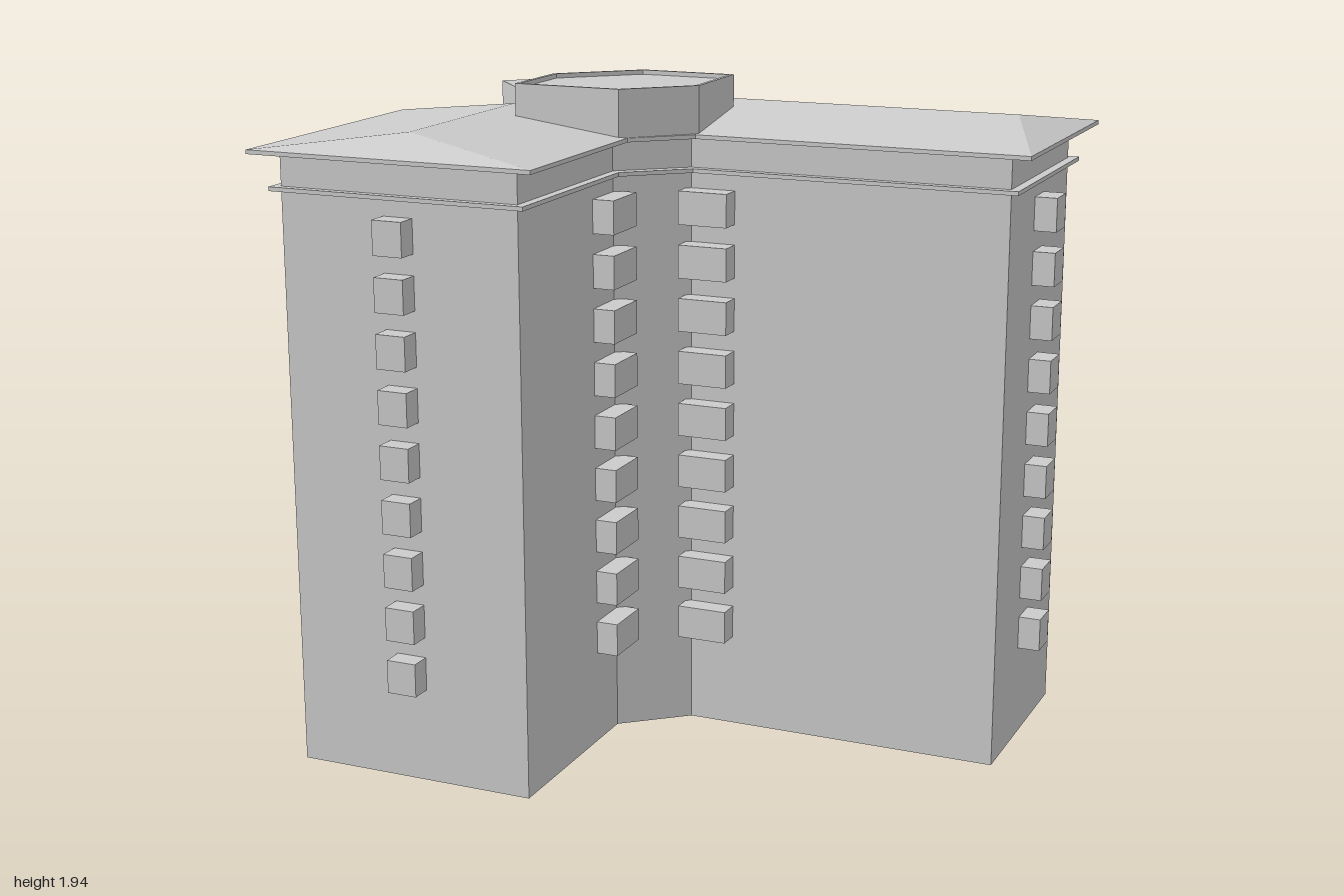
import * as THREE from 'three';

const mat = new THREE.MeshStandardMaterial({ color: 0xcccccc, flatShading: true, side: THREE.DoubleSide });

// Plan outlines as [x, z], running round the L-shaped block
const WALL = [[0.93, -0.65], [0.93, -0.05], [-0.02, -0.05], [-0.2, 0.1], [-0.2, 0.69], [-0.93, 0.69], [-0.93, -0.075], [-0.29, -0.65]];
const EAVE = [[1, -0.72], [1, 0.015], [0.02, 0.015], [-0.13, 0.15], [-0.13, 0.75], [-1, 0.75], [-1, -0.1], [-0.31, -0.72]];
const BAND = WALL.map(([x, z], i) => [x + (EAVE[i][0] - x) * 0.38, z + (EAVE[i][1] - z) * 0.38]);
const LANTERN = [[0.02, -0.27], [0.025, 0], [-0.15, 0.165], [-0.475, 0.165], [-0.475, -0.08], [-0.27, -0.27]];

function add(parent, name, geometry) {
  const mesh = new THREE.Mesh(geometry, mat);
  mesh.name = name;
  parent.add(mesh);
  return mesh;
}

function box(parent, name, x0, x1, y0, y1, z0, z1) {
  const mesh = add(parent, name, new THREE.BoxGeometry(x1 - x0, y1 - y0, z1 - z0));
  mesh.position.set((x0 + x1) / 2, (y0 + y1) / 2, (z0 + z1) / 2);
  return mesh;
}

const toPoints = (pts) => pts.map(([x, z]) => new THREE.Vector2(x, -z));

// Upright prism over a plan outline, with an optional hole
function prism(pts, y0, y1, hole) {
  const shape = new THREE.Shape(toPoints(pts));
  if (hole) shape.holes.push(new THREE.Path(toPoints(hole)));
  const g = new THREE.ExtrudeGeometry(shape, { depth: y1 - y0, bevelEnabled: false });
  return g.rotateX(-Math.PI / 2).translate(0, y0, 0);
}

// Strip of quads between a lower and an upper loop of [x, y, z] points
function strip(lower, upper) {
  const pos = [];
  lower.forEach((a, i) => {
    const j = (i + 1) % lower.length;
    const b = lower[j], c = upper[j], d = upper[i];
    pos.push(...b, ...a, ...d);
    if (c !== d) pos.push(...b, ...d, ...c);
  });
  const g = new THREE.BufferGeometry();
  g.setAttribute('position', new THREE.Float32BufferAttribute(pos, 3));
  g.computeVertexNormals();
  return g;
}

const lift = (pts, y) => pts.map(([x, z]) => [x, y, z]);

export function createModel() {
  const model = new THREE.Group();
  model.name = 'apartmentBlock';

  // Walls, open underneath, with a string course below the eaves
  add(model, 'walls', strip(lift(WALL, 0), lift(WALL, 1.79)));
  add(model, 'stringCourse', prism(BAND, 1.683, 1.695, WALL));

  // Hipped roof following the bent ridge
  add(model, 'eaves', prism(EAVE, 1.788, 1.8));
  const [a, b, c, d] = [[0.86, 1.857, -0.35], [-0.15, 1.857, -0.35], [-0.56, 1.857, 0.01], [-0.56, 1.857, 0.62]];
  add(model, 'roof', strip(lift(EAVE, 1.8), [a, a, b, c, d, d, c, b]));

  // Rooftop lantern with a thin raised rim
  const inner = LANTERN.map(([x, z]) => [-0.22 + (x + 0.22) * 0.955, -0.05 + (z + 0.05) * 0.955]);
  add(model, 'lantern', prism(LANTERN, 1.79, 1.925));
  add(model, 'lanternRim', prism(LANTERN, 1.925, 1.938, inner));

  // Diagonal entrance side: local +z points out of the wall
  const entrance = new THREE.Group();
  entrance.name = 'entranceSide';
  entrance.position.set(-0.61, 0, -0.3625);
  entrance.rotation.y = Math.atan2(-0.668, -0.744);
  box(entrance, 'stairBay', -0.295, 0.295, 0, 1.79, 0, 0.05);
  box(entrance, 'entranceCanopy', -0.295, 0.295, 0.2, 0.222, 0.04, 0.26);
  box(entrance, 'roofShaft', -0.14, 0.14, 1.67, 1.87, -0.3, 0.108);
  model.add(entrance);

  // Balcony stacks as plan rectangles x0, x1, z0, z1
  const stacks = [
    ['frontLeftWing', -0.61, -0.52, 0.69, 0.752],
    ['innerRightWing', -0.035, 0.115, -0.05, 0.014],
    ['innerLeftWing', -0.2, -0.135, 0.082, 0.235],
    ['rightEnd', 0.93, 0.995, -0.393, -0.298],
    ['outerLeftWing', -0.992, -0.93, 0.31, 0.53],
    ['backOuter', 0.66, 0.88, -0.712, -0.65],
    ['backInner', 0.05, 0.275, -0.712, -0.65],
  ];
  for (const [name, x0, x1, z0, z1] of stacks) {
    const stack = new THREE.Group();
    stack.name = name + 'Balconies';
    for (let i = 0; i < 9; i++) {
      const y = 0.277 + i * 0.1575;
      box(stack, 'balcony', x0, x1, y, y + 0.098, z0, z1);
    }
    model.add(stack);
  }
  return model;
}
